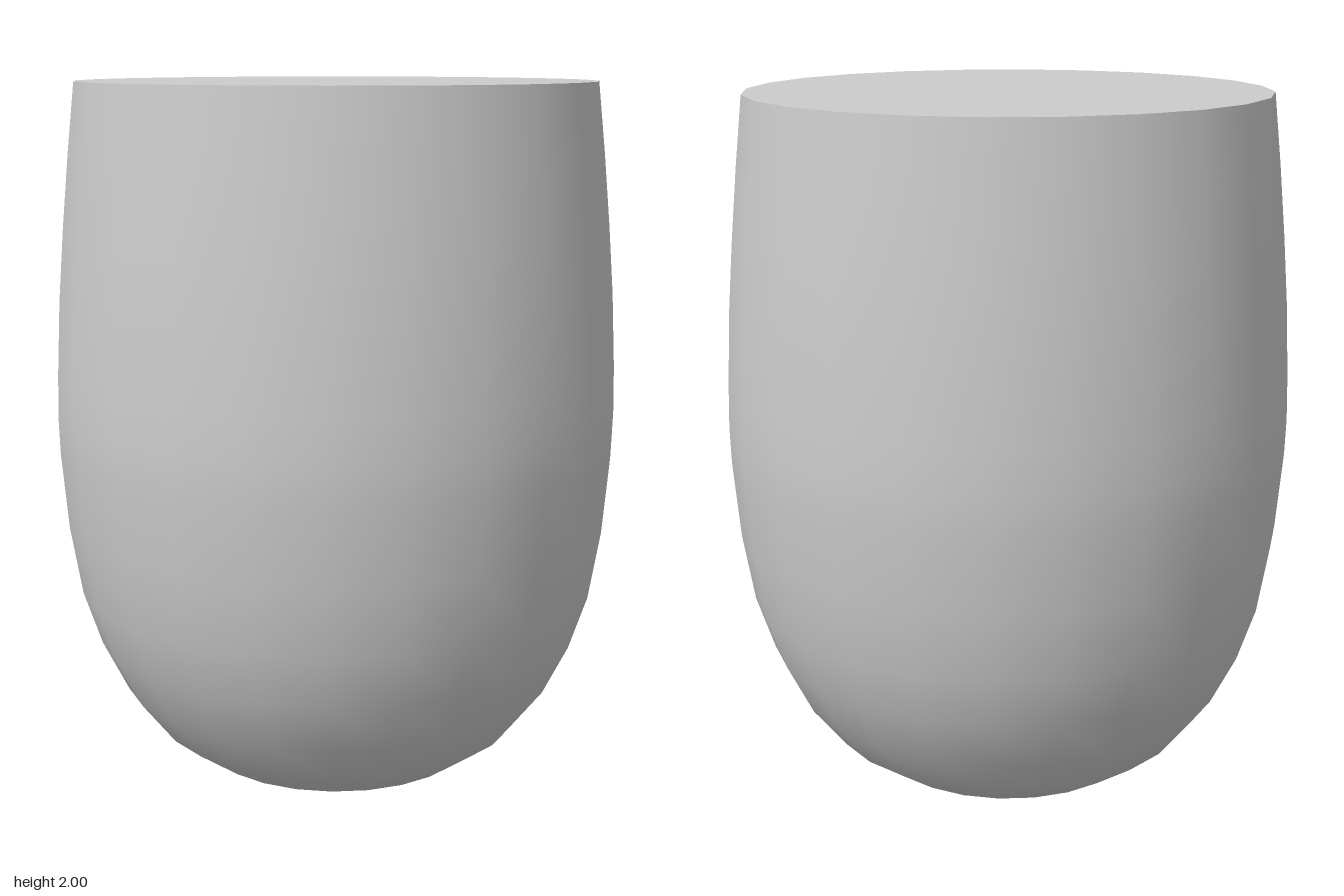
import * as THREE from 'three';

const SIDES = 24;

export function createModel() {
  const model = new THREE.Group();
  model.name = 'roundedTumbler';
  const material = new THREE.MeshStandardMaterial({ color: 0xcccccc });

  // Body: rounded base, widest near the middle, tapering to the rim
  const profile = [
    [0, 0], [0.08, 0.006], [0.2, 0.03], [0.38, 0.1], [0.51, 0.19], [0.605, 0.31],
    [0.675, 0.45], [0.725, 0.6], [0.757, 0.79], [0.775, 1.0], [0.778, 1.1],
    [0.775, 1.22], [0.765, 1.42], [0.75, 1.61], [0.731, 1.81], [0.71, 2],
  ].map(([r, y]) => new THREE.Vector2(r, y));
  const body = new THREE.Mesh(new THREE.LatheGeometry(profile, SIDES), material);
  body.name = 'body';

  // Flat closed top with a sharp edge
  const top = new THREE.Mesh(new THREE.CircleGeometry(0.71, SIDES), material);
  top.name = 'topCap';
  top.rotation.x = -Math.PI / 2;
  top.position.y = 2;

  model.add(body, top);
  return model;
}
